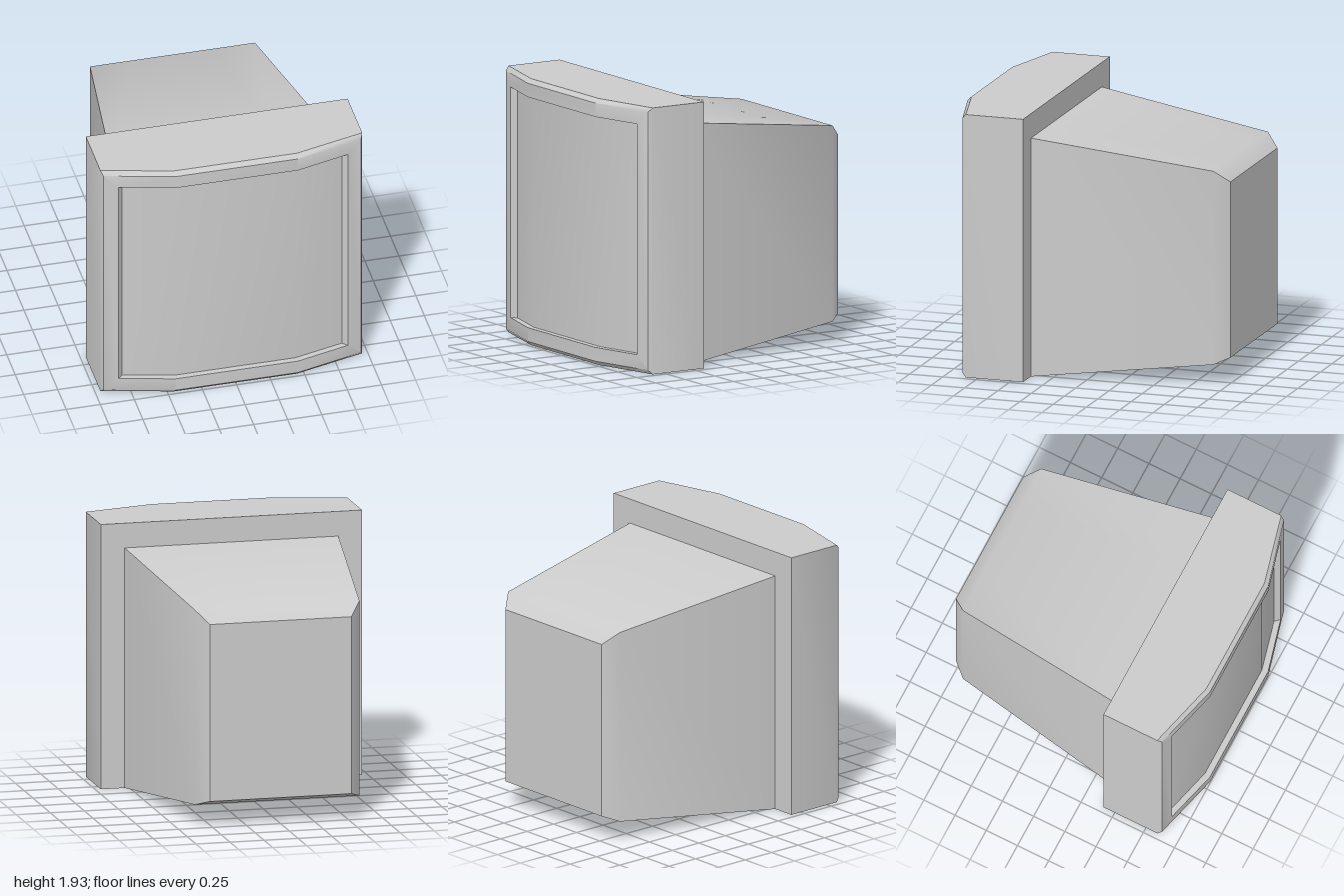
import * as THREE from 'three';
import { toCreasedNormals } from 'three/addons/utils/BufferGeometryUtils.js';

// Eight-point ring: four columns along the bottom edge, the same four back along the top.
// Inner columns sit at x = +-xi, z = zi; outer columns at x = +-xo, z = zo.
function ring(xo, zo, xi, zi, y0, y1) {
  const cols = [[-xo, zo], [-xi, zi], [xi, zi], [xo, zo]];
  return [
    ...cols.map(([x, z]) => [x, y0, z]),
    ...cols.slice().reverse().map(([x, z]) => [x, y1, z]),
  ];
}

// Skin a list of rings, from back to front, with caps at the ends.
function loft(rings, capFront) {
  const pos = [];
  const quad = (a, b, c, d) => pos.push(...a, ...b, ...c, ...a, ...c, ...d);
  for (let k = 0; k < rings.length - 1; k++) {
    const a = rings[k], b = rings[k + 1];
    for (let i = 0; i < 8; i++) {
      const j = (i + 1) % 8;
      quad(a[i], a[j], b[j], b[i]);
    }
  }
  const first = rings[0], last = rings[rings.length - 1];
  for (let i = 0; i < 3; i++) {
    quad(first[7 - i], first[6 - i], first[i + 1], first[i]);
    if (capFront) quad(last[i], last[i + 1], last[6 - i], last[7 - i]);
  }
  const geo = new THREE.BufferGeometry();
  geo.setAttribute('position', new THREE.Float32BufferAttribute(pos, 3));
  return toCreasedNormals(geo, 0.7);
}

export function createModel() {
  const group = new THREE.Group();
  const material = new THREE.MeshStandardMaterial({ color: 0xcccccc });
  const add = (name, geometry) => {
    const mesh = new THREE.Mesh(geometry, material);
    mesh.name = name;
    group.add(mesh);
  };

  // Front bezel with bevelled front edge and a recessed, bowed screen
  add('bezelAndScreen', loft([
    ring(0.96, 0.41, 0.45, 0.41, 0, 1.93),       // back
    ring(0.96, 0.84, 0.45, 0.97, 0, 1.93),       // start of bevel
    ring(0.945, 0.87, 0.45, 1.0, 0.03, 1.9),     // front edge
    ring(0.84, 0.898, 0.45, 1.0, 0.13, 1.8),     // screen opening
    ring(0.805, 0.862, 0.44, 0.955, 0.13, 1.8),  // screen surface
  ], true));

  // Tapered rear housing with chamfered back edges
  add('rearHousing', loft([
    ring(0.52, -1, 0.26, -1, 0.19, 1.48),
    ring(0.605, -0.9, 0.3, -0.9, 0.15, 1.57),
    ring(0.785, 0.41, 0.39, 0.41, 0, 1.75),
  ], false));

  return group;
}
